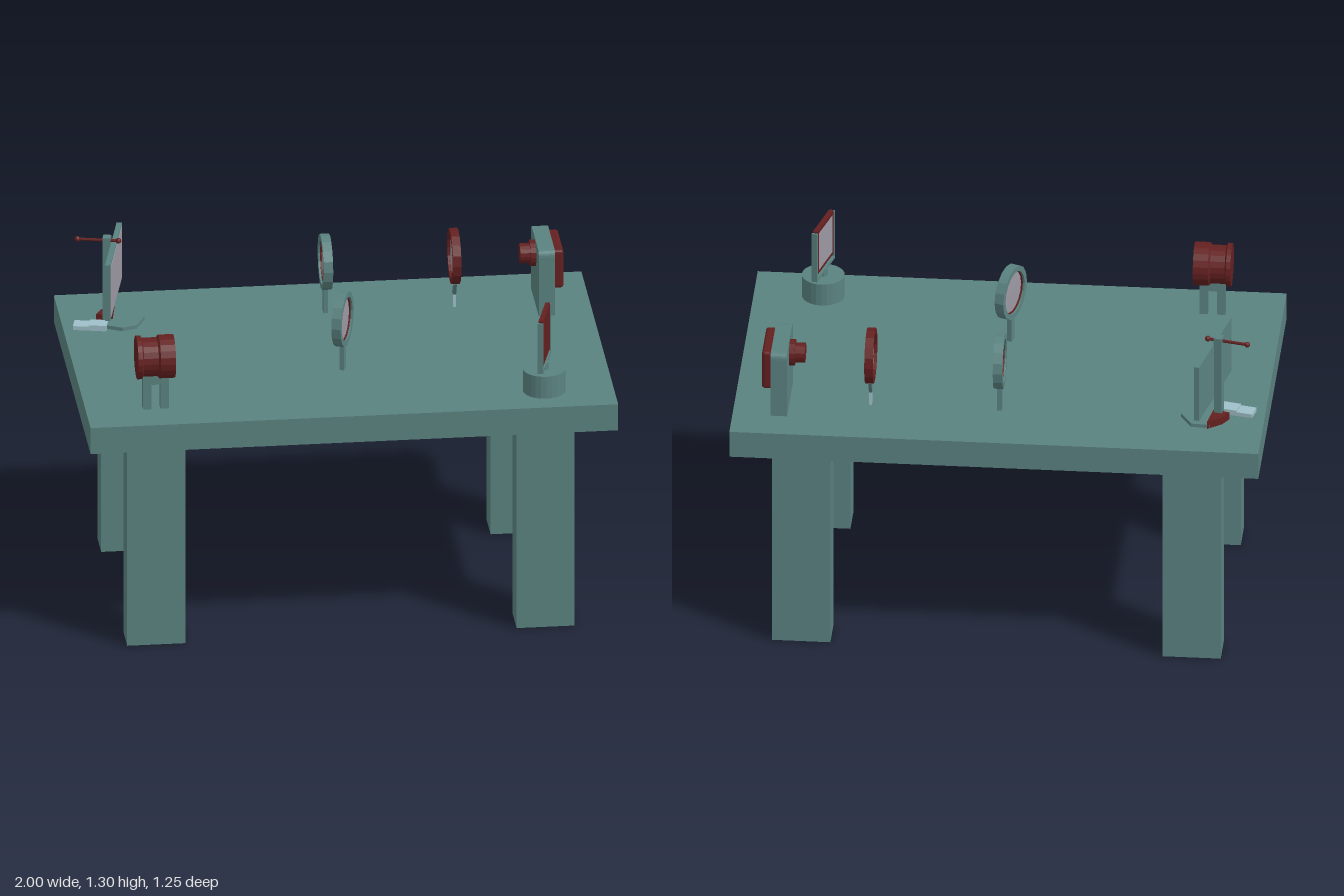
import * as THREE from 'three';
import { RoundedBoxGeometry } from 'three/addons/geometries/RoundedBoxGeometry.js';

const mat = (color) => new THREE.MeshStandardMaterial({ color, flatShading: true });
const TEAL = mat(0x5a8280), RED = mat(0x642020), GLASS = mat(0x9c99a4), PALE = mat(0x9fbfc8);
const TOP = 0.955; // table surface height

function add(parent, name, geometry, material, x = 0, y = 0, z = 0) {
  const mesh = new THREE.Mesh(geometry, material);
  mesh.name = name;
  mesh.position.set(x, y, z);
  parent.add(mesh);
  return mesh;
}

// Box given by its min and max corners
function box(parent, name, material, x0, x1, y0, y1, z0, z1) {
  return add(parent, name, new THREE.BoxGeometry(x1 - x0, y1 - y0, z1 - z0), material,
    (x0 + x1) / 2, (y0 + y1) / 2, (z0 + z1) / 2);
}

// Group standing on the table; its local +x is the facing direction
function station(parent, name, x, z, turn = 0) {
  const g = new THREE.Group();
  g.name = name;
  g.position.set(x, TOP, z);
  g.rotation.y = turn;
  parent.add(g);
  return g;
}

// Turned part along the x axis; profile is [radius, x] pairs
function turned(parent, name, material, profile, y, sides = 16) {
  const geo = new THREE.LatheGeometry(profile.map(([r, h]) => new THREE.Vector2(r, h)), sides);
  geo.rotateZ(-Math.PI / 2);
  return add(parent, name, geo, material, 0, y, 0);
}

const ring = (inner, outer, h) => [[inner, -h], [outer, -h], [outer, h], [inner, h], [inner, -h]];

// Flat slab from an [x, z] outline
function slab(parent, name, material, outline, y0, height) {
  const shape = new THREE.Shape(outline.map(([x, z]) => new THREE.Vector2(x, -z)));
  const geo = new THREE.ExtrudeGeometry(shape, { depth: height, bevelEnabled: false });
  geo.rotateX(-Math.PI / 2);
  return add(parent, name, geo, material, 0, y0, 0);
}

// Round lens in a ring mount
function lens(parent, name, x, z, turn, rimMaterial, half) {
  const g = station(parent, name, x, z, turn);
  turned(g, 'rim', rimMaterial, ring(0.085, 0.106, half), 0.206);
  turned(g, 'lining', RED, ring(0.081, 0.086, half * 0.6), 0.206);
  turned(g, 'glass', GLASS, [[0, -0.007], [0.083, -0.005], [0.083, 0.005], [0, 0.007]], 0.206);
  return g;
}

function addTable(root) {
  box(root, 'tableTop', TEAL, -1, 1, 0.848, TOP, -0.623, 0.623);
  for (const sx of [-1, 1]) for (const sz of [-1, 1])
    add(root, 'tableLeg', new THREE.BoxGeometry(0.22, 0.85, 0.132), TEAL, sx * 0.738, 0.425, sz * 0.44);
}

function addLenses(root) {
  for (const [name, x, z, turn] of [['backLens', 0, -0.357, 0], ['middleLens', 0.005, 0.178, -0.35]]) {
    const g = lens(root, name, x, z, turn, TEAL, 0.018);
    box(g, 'post', TEAL, -0.009, 0.009, 0, 0.105, -0.014, 0.014);
  }
  // Red lens on a forked post
  const g = lens(root, 'redLens', 0.488, -0.357, 0, RED, 0.016);
  box(g, 'post', PALE, -0.005, 0.005, 0, 0.06, -0.012, 0.012);
  for (const s of [-1, 1])
    box(g, 'fork', TEAL, -0.006, 0.006, -0.033, 0.033, -0.006, 0.006)
      .position.set(0, 0.08, s * 0.02);
  g.children.filter((c) => c.name === 'fork').forEach((c) => { c.rotation.x = Math.sign(c.position.z) * 0.5; });
}

function addEmitter(root) {
  const g = station(root, 'emitter', 0.825, -0.355);
  // Upright with rounded top corners
  const w = 0.13, h = 0.265, r = 0.025;
  const s = new THREE.Shape();
  s.moveTo(-w, 0);
  s.lineTo(w, 0);
  s.lineTo(w, h - r);
  s.quadraticCurveTo(w, h, w - r, h);
  s.lineTo(-w + r, h);
  s.quadraticCurveTo(-w, h, -w, h - r);
  const geo = new THREE.ExtrudeGeometry(s, { depth: 0.062, bevelEnabled: false, curveSegments: 5 });
  geo.rotateY(Math.PI / 2);
  add(g, 'upright', geo, TEAL, -0.031, 0, 0);
  add(g, 'housing', new RoundedBoxGeometry(0.06, 0.157, 0.205, 2, 0.012), RED, 0.037, 0.177, 0);
  turned(g, 'nozzle', RED, [[0, -0.09], [0.038, -0.09], [0.038, -0.052], [0.05, -0.052], [0.05, -0.03], [0, -0.03]], 0.205);
}

function addMirror(root) {
  const g = station(root, 'turningMirror', 0.738, 0.46, -0.26);
  add(g, 'drum', new THREE.CylinderGeometry(0.081, 0.081, 0.09, 24), TEAL, 0, 0.045, 0);
  add(g, 'stem', new THREE.CylinderGeometry(0.018, 0.018, 0.03, 12), TEAL, 0, 0.103, 0);
  box(g, 'cradleBase', TEAL, -0.011, 0.011, 0.11, 0.122, -0.101, 0.101);
  for (const s of [-1, 1])
    add(g, 'cradleArm', new THREE.BoxGeometry(0.022, 0.2, 0.009), TEAL, 0, 0.215, s * 0.0965);
  box(g, 'mirrorBacking', RED, -0.009, 0.009, 0.135, 0.321, -0.09, 0.09);
  box(g, 'mirrorGlass', GLASS, -0.0105, -0.008, 0.15, 0.306, -0.075, 0.075);
}

function addDetector(root) {
  const g = station(root, 'detector', -0.738, 0.455);
  turned(g, 'barrel', RED, [[0, -0.07], [0.083, -0.07], [0.083, -0.053], [0.074, -0.048], [0.074, 0.008],
    [0.083, 0.015], [0.083, 0.072], [0.068, 0.072], [0.068, 0.05], [0, 0.05]], 0.208, 20);
  turned(g, 'window', GLASS, [[0, 0.05], [0.068, 0.05], [0.068, 0.064], [0, 0.067]], 0.208, 20);
  for (const x of [-0.03, 0.036])
    box(g, 'supportLeg', TEAL, x - 0.016, x + 0.016, 0, 0.14, -0.018, 0.018);
  box(g, 'supportBridge', TEAL, -0.046, 0.052, 0.1, 0.14, -0.018, 0.018);
}

function addScreen(root) {
  const g = station(root, 'screenStand', -0.803, -0.352, -0.22);
  box(g, 'screenFrame', TEAL, -0.011, 0.009, 0.092, 0.321, -0.202, 0.202);
  box(g, 'screenPanel', GLASS, 0.008, 0.011, 0.102, 0.311, -0.192, 0.192);
  box(g, 'post', TEAL, -0.041, -0.011, 0, 0.35, -0.015, 0.015);
  // Clamp screw through the post head
  const rod = new THREE.CylinderGeometry(0.006, 0.006, 0.15, 8).rotateZ(Math.PI / 2);
  add(g, 'clampRod', rod, RED, -0.06, 0.335, 0);
  for (const x of [-0.138, 0.018])
    add(g, 'clampKnob', new THREE.SphereGeometry(0.011, 8, 6), RED, x, 0.335, 0);
  add(g, 'clampHead', new THREE.BoxGeometry(0.03, 0.03, 0.036), TEAL, -0.026, 0.335, 0);
  // Pale foot blocks
  box(g, 'footBlock', PALE, -0.085, -0.018, 0, 0.022, 0.035, 0.092);
  box(g, 'footBlockEnd', PALE, -0.145, -0.085, 0, 0.016, 0.035, 0.092);
  // Foot plate and red wedge, outlined in table coordinates
  slab(root, 'footPlate', TEAL, [[-0.8, -0.44], [-0.73, -0.435], [-0.685, -0.36], [-0.725, -0.28],
    [-0.78, -0.262], [-0.835, -0.29], [-0.84, -0.37]], TOP, 0.014);
  slab(root, 'footWedge', RED, [[-0.868, -0.365], [-0.845, -0.405], [-0.79, -0.447], [-0.808, -0.345]], TOP, 0.03);
}

export function createModel() {
  const root = new THREE.Group();
  root.name = 'opticsTable';
  for (const build of [addTable, addLenses, addEmitter, addMirror, addDetector, addScreen]) build(root);
  return root;
}
